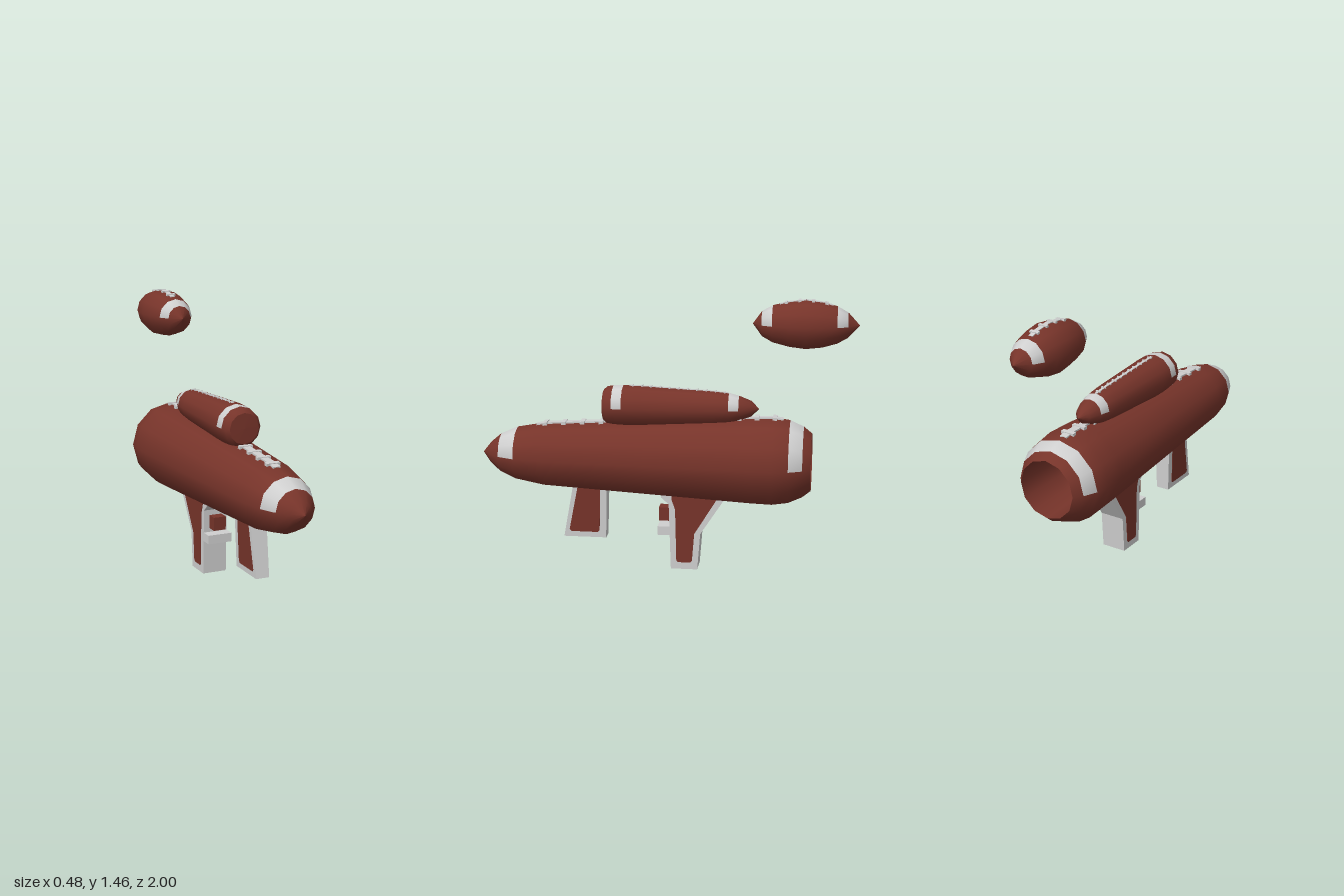
import * as THREE from 'three';

const leather = new THREE.MeshStandardMaterial({ color: 0x77342a });
leather.name = 'brown leather';
const white = new THREE.MeshStandardMaterial({ color: 0xcfcfcf });
white.name = 'off white';
const lining = new THREE.MeshStandardMaterial({ color: 0x77342a, side: THREE.DoubleSide });
lining.name = 'brown lining';

const SIDES = 12;

// Profiles are [z, radius] from back to front
const BODY = [[-0.77, 0.157], [-0.727, 0.192], [-0.655, 0.225], [-0.57, 0.238], [-0.45, 0.234], [0.1, 0.204],
  [0.65, 0.174], [0.807, 0.145], [0.897, 0.106], [0.955, 0.057], [1, 0]];
const SCOPE = [[-0.49, 0], [-0.45, 0.042], [-0.385, 0.068], [-0.332, 0.082], [-0.25, 0.09], [0.15, 0.109],
  [0.23, 0.109], [0.283, 0.106], [0.315, 0.1], [0.335, 0.082]];
const BALL = [[-1, 0], [-0.94, 0.066], [-0.885, 0.097], [-0.81, 0.119], [-0.725, 0.129],
  [-0.64, 0.119], [-0.553, 0.097], [-0.498, 0.066], [-0.45, 0.0]];

function add(parent, name, geometry, material) {
  const mesh = new THREE.Mesh(geometry, material);
  mesh.name = name;
  parent.add(mesh);
  return mesh;
}

// Turned shape along z; the listed profile bands are white on the upper half
function turned(profile, bands = []) {
  const geo = new THREE.LatheGeometry(profile.map(([z, r]) => new THREE.Vector2(r, z)), SIDES);
  const src = geo.index.array, parts = [[], []];
  const n = profile.length;
  for (let t = 0; t < src.length; t += 3) {
    const corners = [src[t], src[t + 1], src[t + 2]];
    const side = Math.min(...corners.map(v => Math.floor(v / n)));
    const band = Math.min(...corners.map(v => v % n));
    const upper = side >= SIDES / 4 && side < SIDES * 3 / 4;
    parts[upper && bands.includes(band) ? 1 : 0].push(...corners);
  }
  geo.setIndex([...parts[0], ...parts[1]]);
  geo.clearGroups();
  geo.addGroup(0, parts[0].length, 0);
  if (parts[1].length) geo.addGroup(parts[0].length, parts[1].length, 1);
  return geo.rotateX(Math.PI / 2);
}

function radiusAt(profile, z) {
  const k = Math.max(1, profile.findIndex(p => p[0] >= z));
  const [a, b] = [profile[k - 1], profile[k]];
  return a[1] + (b[1] - a[1]) * (z - a[0]) / (b[0] - a[0]);
}

// Spine and crossbars that follow the top ridge of a turned shape
function laces(parent, profile, axisY, z0, z1, spine, bar, bars, rise = 0.003) {
  const group = new THREE.Group();
  group.name = 'laces';
  parent.add(group);
  const strip = (name, a, b, width, lift) => {
    const ya = axisY + radiusAt(profile, a), yb = axisY + radiusAt(profile, b);
    const m = add(group, name, new THREE.BoxGeometry(width, 0.016, Math.hypot(b - a, yb - ya)), white);
    m.position.set(0, (ya + yb) / 2 - 0.008 + lift, (a + b) / 2);
    m.rotation.x = -Math.atan2(yb - ya, b - a);
  };
  const steps = 6;
  for (let i = 0; i < steps; i++) {
    strip('laceSpine', z0 + (z1 - z0) * i / steps, z0 + (z1 - z0) * (i + 1) / steps, spine, rise);
  }
  const half = bar * 0.16;
  for (let i = 0; i < bars; i++) {
    const z = z0 + half + (z1 - z0 - 2 * half) * (i + 0.35) / (bars - 0.3);
    strip('laceBar', z - half, z + half, bar, rise + 0.003);
  }
}

// Side outline of [z, y] points, given a width along x
function slab(points, width) {
  const shape = new THREE.Shape(points.map(([z, y]) => new THREE.Vector2(z, y)));
  return new THREE.ExtrudeGeometry(shape, { depth: width, bevelEnabled: false })
    .translate(0, 0, -width / 2).rotateY(-Math.PI / 2);
}

// Narrows a geometry in x towards its foot
function taper(geo, y0, s0, y1, s1) {
  const p = geo.attributes.position;
  for (let i = 0; i < p.count; i++) {
    p.setX(i, p.getX(i) * (s0 + (s1 - s0) * (p.getY(i) - y0) / (y1 - y0)));
  }
  geo.computeVertexNormals();
  return geo;
}

export function createModel() {
  const model = new THREE.Group();
  model.name = 'footballLauncher';
  const skins = [leather, white];

  // Barrel with an open, hollow back
  const barrel = new THREE.Group();
  barrel.name = 'barrel';
  model.add(barrel);
  add(barrel, 'barrelShell', turned(BODY, [1, 7]), skins).position.y = 0.6;
  add(barrel, 'barrelBore', turned([[-0.77, 0.157], [-0.5, 0.15], [-0.3, 0.13], [-0.3, 0]]), lining).position.y = 0.6;
  laces(barrel, BODY, 0.6, 0.3, 0.7, 0.04, 0.075, 4);
  laces(barrel, BODY, 0.6, -0.62, -0.25, 0.04, 0.075, 4);

  // Scope
  const scope = new THREE.Group();
  scope.name = 'scope';
  model.add(scope);
  add(scope, 'scopeShell', turned(SCOPE, [2, 6]), skins).position.y = 0.88;
  add(scope, 'scopeCap', turned([[0.335, 0.082], [0.338, 0]]), leather).position.y = 0.88;
  laces(scope, SCOPE, 0.88, -0.33, 0.2, 0.014, 0.026, 11, 0.001);

  // Flying ball
  const ball = new THREE.Group();
  ball.name = 'ball';
  model.add(ball);
  add(ball, 'ballShell', turned(BALL, [1, 6]), skins).position.y = 1.333;
  laces(ball, BALL, 1.333, -0.86, -0.59, 0.024, 0.05, 4, 0.001);

  // Front grip with side panels
  const frontGrip = new THREE.Group();
  frontGrip.name = 'frontGrip';
  model.add(frontGrip);
  add(frontGrip, 'frontGripFrame',
    taper(slab([[0.325, 0.15], [0.555, 0.15], [0.5, 0.45], [0.318, 0.45]], 0.09), 0.15, 0.82, 0.42, 1), white);
  add(frontGrip, 'frontGripPanels',
    taper(slab([[0.37, 0.18], [0.515, 0.18], [0.525, 0.19], [0.475, 0.44], [0.353, 0.44], [0.36, 0.19]], 0.096),
      0.15, 0.82, 0.42, 1), leather);

  // Rear grip with side panels
  const rearGrip = new THREE.Group();
  rearGrip.name = 'rearGrip';
  model.add(rearGrip);
  add(rearGrip, 'rearGripFrame', slab([[-0.175, 0], [-0.032, 0], [-0.02, 0.36], [0.02, 0.395], [0.02, 0.43],
    [-0.34, 0.43], [-0.31, 0.385], [-0.19, 0.2]], 0.135), white);
  add(rearGrip, 'rearGripPanels', slab([[-0.137, 0.038], [-0.07, 0.038], [-0.062, 0.048], [-0.055, 0.33],
    [-0.035, 0.39], [-0.035, 0.42], [-0.29, 0.42], [-0.268, 0.38], [-0.158, 0.2], [-0.146, 0.048]], 0.141), leather);

  // Trigger and the guard bar below it
  add(rearGrip, 'trigger', new THREE.BoxGeometry(0.07, 0.073, 0.07), leather).position.set(0, 0.294, 0.002);
  add(rearGrip, 'triggerGuard', new THREE.BoxGeometry(0.135, 0.048, 0.075), white).position.set(0, 0.211, 0.002);

  return model;
}
